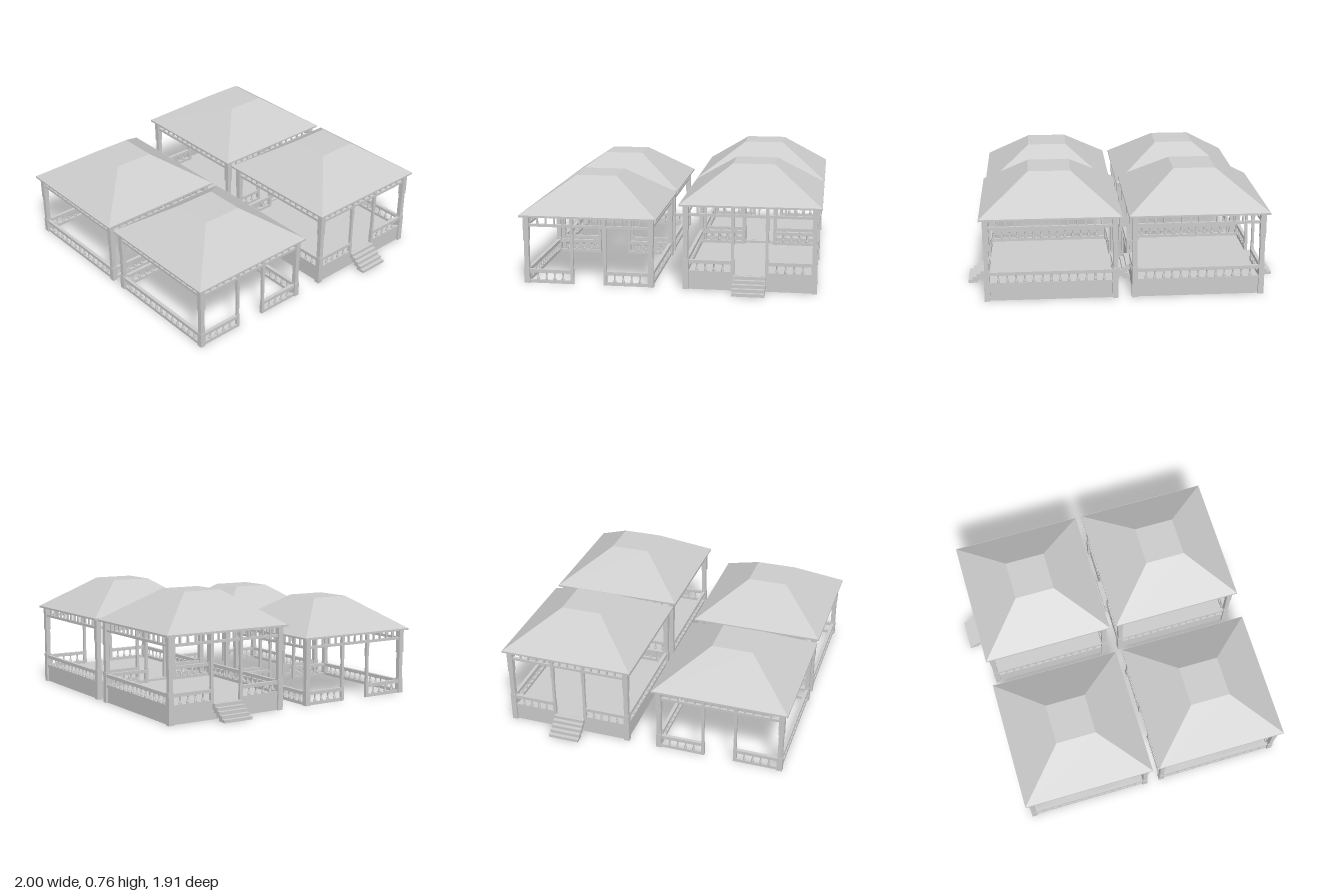
import * as THREE from 'three';

const mat = new THREE.MeshStandardMaterial({ color: 0xcccccc, flatShading: true });
const C = 0.402;  // distance from pavilion centre to post axis
const D = 0.107;  // distance from doorway middle to door post axis

function add(parent, name, geometry, x = 0, y = 0, z = 0) {
  const m = new THREE.Mesh(geometry, mat);
  m.name = name;
  m.position.set(x, y, z);
  parent.add(m);
  return m;
}

// Box given by centre x/z and its bottom and top heights
function box(parent, name, x, z, w, d, y0, y1) {
  return add(parent, name, new THREE.BoxGeometry(w, y1 - y0, d), x, (y0 + y1) / 2, z);
}

// Square post with a slimmer middle section
function post(parent, name, x, z, w, foot) {
  const g = new THREE.Group();
  g.name = name;
  box(g, 'postFoot', x, z, w, w, foot, 0.1);
  box(g, 'postShaft', x, z, w * 0.82, w * 0.82, 0.1, 0.28);
  box(g, 'postHead', x, z, w, w, 0.28, 0.437);
  parent.add(g);
}

// Low railing along x from a to b, with turned balusters
function railing(parent, a, b, z) {
  const g = new THREE.Group();
  g.name = 'railing';
  const mid = (a + b) / 2, len = b - a, n = Math.round(len / 0.054);
  box(g, 'bottomRail', mid, z, len, 0.018, 0, 0.02);
  box(g, 'topRail', mid, z, len, 0.022, 0.068, 0.09);
  const profile = [[0.009, 0.018], [0.0095, 0.028], [0.005, 0.045], [0.005, 0.06], [0.008, 0.07]]
    .map(p => new THREE.Vector2(...p));
  for (let i = 1; i < n; i++)
    add(g, 'baluster', new THREE.LatheGeometry(profile, 8), a + (len * i) / n, 0, z);
  parent.add(g);
}

// Openwork band below the eaves
function frieze(parent, z) {
  const g = new THREE.Group();
  g.name = 'frieze';
  const a = C - 0.018, n = 14;
  box(g, 'friezeRail', 0, z, 2 * a, 0.018, 0.37, 0.387);
  box(g, 'eaveBeam', 0, z, 2 * a, 0.018, 0.428, 0.437);
  for (let i = 1; i < n; i++)
    box(g, 'friezeBar', -a + (2 * a * i) / n, z, 0.011, 0.012, 0.385, 0.43);
  parent.add(g);
}

// Open sawtooth stairs descending along +x
function stairs(parent) {
  const g = new THREE.Group();
  g.name = 'stairs';
  const n = 5, x0 = 0.405, run = (0.537 - x0) / n;
  for (let i = 0; i < n; i++) {
    const top = -i * 0.02;
    box(g, 'step', x0 + run * (i + 0.5) - 0.004, 0, run + 0.008, 0.205,
      Math.max(-0.1, top - 0.038), top - 0.001);
  }
  parent.add(g);
}

function pavilion(raised) {
  const g = new THREE.Group();
  g.name = raised ? 'raisedPavilion' : 'groundPavilion';
  const foot = raised ? -0.1 : 0;

  // Corner posts
  for (const sx of [-1, 1]) for (const sz of [-1, 1])
    post(g, 'cornerPost', sx * C, sz * C, 0.036, foot);

  // Four sides; the two facing x have a doorway
  for (let k = 0; k < 4; k++) {
    const side = new THREE.Group();
    side.name = k % 2 ? 'doorSide' : 'closedSide';
    side.rotation.y = (k * Math.PI) / 2;
    frieze(side, C);
    if (k % 2) {
      for (const s of [-1, 1]) post(side, 'doorPost', s * D, C, 0.021, 0);
      railing(side, -C + 0.016, -D - 0.008, C);
      railing(side, D + 0.008, C - 0.016, C);
    } else railing(side, -C + 0.016, C - 0.016, C);
    g.add(side);
  }

  // Hipped roof with flat top on a thin eave slab
  box(g, 'eaveSlab', 0, 0, 0.884, 0.884, 0.435, 0.447);
  const roof = new THREE.CylinderGeometry(0.134 * Math.SQRT2, 0.44 * Math.SQRT2, 0.213, 4);
  roof.rotateY(Math.PI / 4);
  add(g, 'roof', roof, 0, 0.5535, 0);

  // Raised floor with stairs on both door sides
  if (raised) {
    box(g, 'floorBase', 0, 0, 0.812, 0.812, -0.1, 0);
    for (const r of [0, Math.PI]) {
      const s = new THREE.Group();
      s.name = 'stairSide';
      s.rotation.y = r;
      stairs(s);
      g.add(s);
    }
  }
  return g;
}

export function createModel() {
  const model = new THREE.Group();
  model.name = 'pavilions';
  for (const sx of [-1, 1]) for (const sz of [-1, 1]) {
    const p = pavilion(sz < 0);
    p.position.set(sx * 0.463, sz < 0 ? 0.1 : 0, sz * 0.513);
    model.add(p);
  }
  return model;
}
